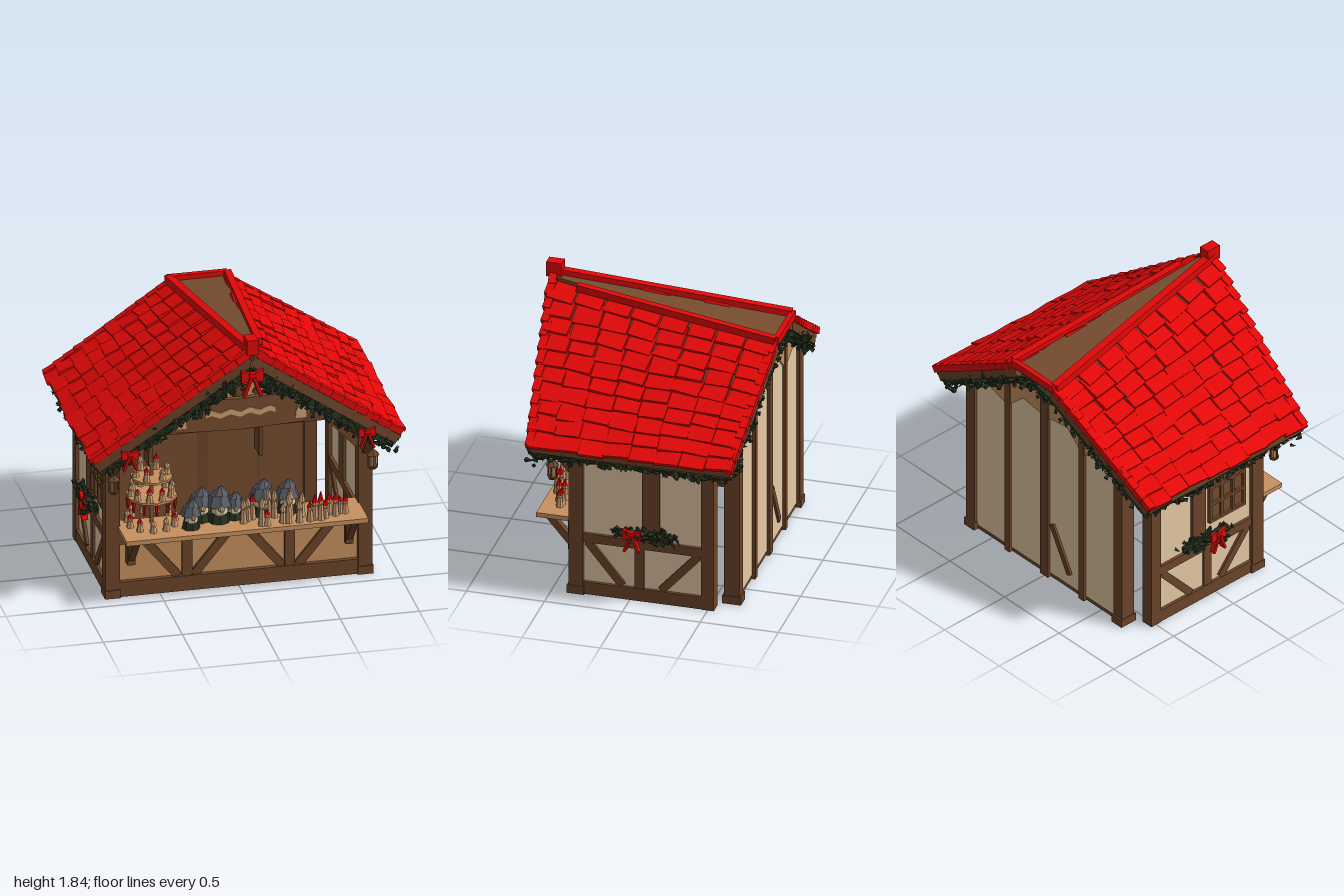
import * as THREE from 'three';
import { mergeGeometries } from 'three/addons/utils/BufferGeometryUtils.js';

const V = (x, y, z) => new THREE.Vector3(x, y, z);
const paint = (name, color) => Object.assign(new THREE.MeshStandardMaterial({ color }), { name });
const box = (w, h, d, x, y, z) => new THREE.BoxGeometry(w, h, d).translate(x, y, z);
const cyl = (r1, r2, h, x, y, z, n = 8) => new THREE.CylinderGeometry(r1, r2, h, n).translate(x, y + h / 2, z);
const ball = (r, x, y, z) => new THREE.SphereGeometry(r, 7, 5).translate(x, y, z);

// Square timber running from a to b
function beam(a, b, w, h = w) {
  const d = b.clone().sub(a);
  const z = d.clone().normalize();
  const x = (Math.abs(z.y) > 0.99 ? V(1, 0, 0) : V(0, 1, 0).cross(z)).normalize();
  const m = new THREE.Matrix4().makeBasis(x, z.clone().cross(x), z);
  return new THREE.BoxGeometry(w, h, d.length()).applyMatrix4(m.setPosition(a.clone().add(b).multiplyScalar(0.5)));
}

// Flat outline in x/y given thickness in z
function plate(points, z, depth) {
  const shape = new THREE.Shape(points.map(p => new THREE.Vector2(p[0], p[1])));
  return new THREE.ExtrudeGeometry(shape, { depth, bevelEnabled: false }).translate(0, 0, z);
}

export function createModel() {
  const group = new THREE.Group();
  const red = paint('red', 0xe20808), dark = paint('dark wood', 0x6c452a), mid = paint('brown wood', 0x764c2e);
  const tan = paint('tan wood', 0xc6915f), light = paint('light wood', 0xcf9f74), plaster = paint('plaster', 0xe5c9a4);
  const green = paint('fir green', 0x27321f), slate = paint('slate grey', 0x595c62), cream = paint('cream', 0xdcc9aa);
  let seed = 7;
  const rnd = (a = -1, b = 1) => a + (b - a) * ((seed = (seed * 16807) % 2147483647) / 2147483647);

  // Merge a list of geometries into one faceted, named mesh
  function add(name, mat, ...geos) {
    const g = mergeGeometries(geos.flat().map(q => {
      const f = q.index ? q.toNonIndexed() : q;
      f.deleteAttribute('uv'); f.clearGroups();
      return f;
    }));
    g.computeVertexNormals();
    const mesh = new THREE.Mesh(g, mat);
    mesh.name = name;
    group.add(mesh);
  }

  // Roof surface: u runs eave to ridge, v front to back, s picks the side
  const roofPoint = (u, v, s) => {
    const eave = V(0.97, 1.05, 0.61).lerp(V(0.97, 1.06, -0.68), v);
    const ridge = (s > 0 ? V(0.05, 1.72, 0.735) : V(0.01, 1.745, 0.74)).lerp(V(0.17, 1.565, -0.75), v);
    const p = eave.lerp(ridge, u);
    return p.setX(p.x * s);
  };
  const roofFrame = (u, v, s) => {
    const x = roofPoint(u, v + 0.02, s).sub(roofPoint(u, v - 0.02, s)).normalize().multiplyScalar(s);
    const up = roofPoint(u + 0.02, v, s).sub(roofPoint(u - 0.02, v, s));
    const n = up.cross(x).normalize();
    if (n.y < 0) n.negate();
    return new THREE.Matrix4().makeBasis(x, n, x.clone().cross(n)).setPosition(roofPoint(u, v, s));
  };

  // Roof shingles, verge caps and ridge trims
  const tiles = [], verge = [], rows = 10, cols = 8;
  for (const s of [1, -1]) {
    for (let i = 0; i < rows; i++) for (let j = 0; j < cols; j++) {
      const t = new THREE.BoxGeometry(0.168 + rnd() * 0.01, 0.022, 0.145 + rnd() * 0.018);
      t.rotateX(-0.13 + rnd() * 0.06).rotateZ(rnd() * 0.07).rotateY(rnd() * 0.07).translate(0, 0.008 + rnd() * 0.004, rnd() * 0.008);
      tiles.push(t.applyMatrix4(roofFrame((i + 0.5) / rows, (j + 0.5) / cols, s)));
    }
    for (const v of [0.008, 0.992]) for (let i = 0; i < 12; i++) {
      const t = new THREE.BoxGeometry(0.05, 0.045, 0.108).rotateX(-0.06 + rnd() * 0.05).translate(0, 0.004, 0);
      verge.push(t.applyMatrix4(roofFrame((i + 0.5) / 12, v, s)));
    }
  }
  verge.push(beam(V(-0.01, 1.765, 0.73), V(-0.185, 1.59, -0.75), 0.05), beam(V(0.09, 1.725, 0.55), V(0.19, 1.59, -0.75), 0.045));
  verge.push(beam(V(0, 1.765, 0.725), V(0.08, 1.71, 0.715), 0.05, 0.045));
  add('roofShingles', red, tiles);
  add('roofTrim', red, verge, beam(V(-0.19, 1.585, -0.755), V(0.19, 1.585, -0.755), 0.035, 0.05));
  add('ridgeFinial', red, box(0.07, 0.1, 0.1, 0, 1.79, 0.715));

  // Roof boards under the shingles
  const boards = [];
  for (const s of [1, -1]) for (let j = 0; j < 4; j++) {
    const c = [[0, j / 4], [1, j / 4], [1, (j + 1) / 4], [0, (j + 1) / 4]].map(([u, v]) => roofPoint(u, v, s));
    const pos = [...c, ...c.map(p => p.clone().add(V(0, -0.045, 0)))].flatMap(p => p.toArray());
    const g = new THREE.BufferGeometry().setAttribute('position', new THREE.Float32BufferAttribute(pos, 3));
    const idx = [0, 2, 1, 0, 3, 2, 4, 5, 6, 4, 6, 7, 0, 1, 5, 0, 5, 4, 1, 2, 6, 1, 6, 5, 2, 3, 7, 2, 7, 6, 3, 0, 4, 3, 4, 7];
    g.setIndex(s < 0 ? idx.reverse() : idx);
    g.computeVertexNormals();
    boards.push(g);
  }
  add('roofBoards', dark, boards);

  // Open wedge along the falling ridge line
  const wedge = plate([[0, -0.72], [0.05, -0.7], [0.17, 0.76], [-0.17, 0.76]], 0, 0.03).rotateX(-Math.PI / 2);
  const wp = wedge.attributes.position;
  for (let i = 0; i < wp.count; i++) wp.setY(i, wp.getY(i) + 1.637 + 0.121 * wp.getZ(i));
  add('ridgeWedge', mid, wedge);

  // Barge boards, fir garlands and bows
  const barge = [], leaves = [];
  function garland(a, b, r, density = 190) {
    const n = Math.round(a.distanceTo(b) * density);
    leaves.push(beam(a, b, r));
    for (let i = 0; i < n; i++) {
      const p = a.clone().lerp(b, rnd(0, 1)).add(V(rnd() * r, rnd() * r, rnd() * r * 0.8));
      leaves.push(new THREE.ConeGeometry(rnd(0.012, 0.02), rnd(0.04, 0.065), 4)
        .rotateX(rnd() * 3).rotateZ(rnd() * 3).translate(p.x, p.y, p.z));
    }
  }
  for (const s of [1, -1]) {
    barge.push(beam(V(0, 1.69, 0.725), V(0.95 * s, 1.0, 0.6), 0.04, 0.06));
    barge.push(beam(V(0.16 * s, 1.52, -0.74), V(0.95 * s, 1.01, -0.66), 0.04, 0.06));
    barge.push(beam(V(0.93 * s, 1.02, 0.58), V(0.93 * s, 1.02, -0.64), 0.05, 0.05));
    garland(V(0, 1.59, 0.69), V(0.93 * s, 0.96, 0.57), 0.052, 260);
    garland(V(0, 1.48, -0.72), V(0.2 * s, 1.44, -0.72), 0.035);
    garland(V(0.2 * s, 1.44, -0.72), V(0.92 * s, 0.98, -0.65), 0.04);
    garland(V(0.92 * s, 0.98, 0.56), V(0.92 * s, 0.98, -0.64), 0.03);
    garland(V(0.855 * s, 0.47, 0.08), V(0.855 * s, 0.47, -0.28), 0.036, 260);
  }
  add('bargeBoards', dark, barge);
  add('firGarlands', green, leaves);
  const bow = (x, y, z, k, turn = 0) => [
    box(0.04, 0.045, 0.03, 0, 0, 0.012), ...[1, -1].flatMap(s => [
      plate([[0, 0.02], [0.06 * s, 0.04], [0.06 * s, -0.03], [0, -0.02]], 0, 0.022),
      beam(V(0.005 * s, 0, 0.015), V(0.045 * s, -0.11, 0.01), 0.042, 0.016)])
  ].map(g => g.scale(k, k, k).rotateY(turn).translate(x, y, z));
  add('bows', red, bow(0, 1.59, 0.74, 1.18), ...[1, -1].flatMap(s => [
    bow(0.75 * s, 1.085, 0.645, 0.9), bow(0.88 * s, 0.48, -0.03, 1, s * Math.PI / 2)]));

  // Timber frame
  const frame = [box(1.6, 0.1, 0.07, 0, 0.05, 0.35), box(1.6, 0.09, 0.07, 0, 0.4, 0.35)];
  for (const s of [1, -1]) {
    const x = 0.8 * s;
    frame.push(box(0.09, 1.1, 0.09, x, 0.55, 0.345), box(0.1, 0.055, 0.11, x, 0.027, 0.345));
    frame.push(box(0.08, 1.1, 0.08, x, 0.55, -0.5));
    frame.push(box(0.07, 0.085, 0.8, x, 0.042, -0.08), box(0.07, 0.06, 0.8, x, 0.39, -0.08), box(0.07, 0.08, 1.0, x, 1.06, -0.13));
    frame.push(box(0.07, 0.62, 0.11, x, 0.71, -0.135), box(0.06, 0.3, 0.06, x, 0.22, -0.06));
    frame.push(beam(V(x, 0.36, 0.27), V(x, 0.09, 0.05), 0.065, 0.05), beam(V(x, 0.36, -0.44), V(x, 0.09, -0.2), 0.065, 0.05));
    // front studs and braces
    frame.push(box(0.065, 0.28, 0.06, 0.325 * s, 0.23, 0.35));
    frame.push(beam(V(0.59 * s, 0.36, 0.35), V(0.38 * s, 0.1, 0.35), 0.05, 0.055), beam(V(0.07 * s, 0.36, 0.35), V(0.28 * s, 0.1, 0.35), 0.05, 0.055));
    // counter brackets, knee braces and awning struts
    frame.push(box(0.05, 0.22, 0.05, 0.69 * s, 0.34, 0.405), beam(V(0.69 * s, 0.25, 0.39), V(0.69 * s, 0.45, 0.56), 0.045));
    frame.push(beam(V(0.76 * s, 0.88, 0.35), V(0.56 * s, 1.1, 0.35), 0.055), beam(V(x, 0.84, 0.38), V(x, 1.04, 0.57), 0.045));
    // back corner posts, set in from the side walls
    frame.push(box(0.08, 1.17, 0.1, 0.675 * s, 0.585, -0.62), box(0.09, 0.055, 0.12, 0.675 * s, 0.027, -0.62));
  }
  // back studs and one short brace
  for (const [x, top, w] of [[0.34, 1.36, 0.045], [-0.34, 1.36, 0.045], [0, 1.5, 0.07]]) frame.push(box(w, top, 0.06, x, top / 2, -0.64));
  frame.push(box(1.34, 0.04, 0.06, 0, 0.02, -0.615), beam(V(-0.06, 0.42, -0.645), V(-0.22, 0.12, -0.645), 0.04));
  frame.push(box(1.6, 0.06, 0.07, 0, 1.1, 0.35));
  add('timberFrame', dark, frame);

  // Walls
  add('sideWalls', plaster, [1, -1].map(s => box(0.03, 1.08, 0.8, 0.8 * s, 0.56, -0.08)));
  add('frontPanel', tan, box(1.55, 0.38, 0.02, 0, 0.25, 0.345));
  add('frontLining', mid, box(1.51, 0.4, 0.006, 0, 0.25, 0.332));
  add('backWall', plaster, plate([[-0.7, 0.03], [0.7, 0.03], [0.7, 1.15], [0.4, 1.35], [-0.4, 1.35], [-0.7, 1.15]], -0.65, 0.015));
  add('backWallLining', mid, plate([[-0.7, 0.03], [0.7, 0.03], [0.7, 1.16], [0.16, 1.52], [-0.16, 1.52], [-0.7, 1.16]], -0.635, 0.025));
  add('backGableBoards', tan, plate([[-0.72, 1.04], [-0.6, 1.15], [-0.5, 1.17], [-0.34, 1.12], [-0.2, 1.25], [0, 1.22], [0.2, 1.25], [0.34, 1.12],
    [0.5, 1.17], [0.6, 1.15], [0.72, 1.04], [0.72, 1.15], [0.17, 1.52], [-0.17, 1.52], [-0.72, 1.15]], -0.662, 0.012));

  // Front gable with an arched panel, studs and a plain signboard
  add('frontGable', mid, plate([[-0.78, 1.1], [0.78, 1.1], [0.78, 1.13], [0, 1.66], [-0.78, 1.13]], 0.34, 0.02));
  const arch = [0, 1, 2, 3, 4, 5, 6, 7, 8].map(i => [0.36 * Math.cos(i * Math.PI / 8), 1.27 + 0.21 * Math.sin(i * Math.PI / 8)]);
  add('gableArch', tan, plate(arch, 0.361, 0.008));
  add('gableStuds', dark, box(0.05, 0.25, 0.03, 0, 1.4, 0.375), [1, -1].flatMap(s => [
    beam(V(0.1 * s, 1.3, 0.375), V(0.2 * s, 1.47, 0.375), 0.04, 0.03), beam(V(0.66 * s, 1.12, 0.375), V(0, 1.58, 0.375), 0.05, 0.03)]));
  add('signboard', mid, plate([[-0.4, 1.1], [0, 1.085], [0.4, 1.1], [0.46, 1.17], [0.44, 1.25], [0.37, 1.31], [0, 1.295], [-0.37, 1.31], [-0.44, 1.25], [-0.46, 1.17]], 0.4, 0.035));
  // carved candles at the ends and a wavy garland band between them
  const band = Array.from({ length: 15 }, (_, i) => [-0.22 + i * 0.0314, 1.205 + 0.012 * Math.sin(i * 1.6)]);
  const ornaments = [plate([...band.map(([x, y]) => [x, y - 0.018]), ...band.reverse().map(([x, y]) => [x, y + 0.018])], 0.435, 0.008)];
  for (const x of [-0.38, 0.38]) ornaments.push(plate([[-0.035, 1.13], [0.035, 1.13], [0.03, 1.18], [0, 1.25], [-0.03, 1.18]], 0.435, 0.008).translate(x, 0, 0));
  add('signOrnaments', light, ornaments);

  // Lattice window in one side wall
  add('windowPane', mid, box(0.008, 0.38, 0.28, -0.819, 0.75, 0.1));
  const bars = [];
  for (let i = 0; i < 4; i++) bars.push(box(0.03, 0.4, 0.022, -0.825, 0.75, -0.04 + i * 0.0933), box(0.03, 0.022, 0.3, -0.825, 0.56 + i * 0.127, 0.1));
  add('windowLattice', dark, bars);

  // Counter, back shelves and tiered stand
  add('counter', tan, box(1.53, 0.03, 0.32, 0, 0.468, 0.46));
  add('shelves', tan, [0.78, 0.94, 1.07].map(y => box(0.68, 0.02, 0.13, -0.01, y, -0.54)));
  add('shelfEnds', dark, [-0.36, 0.34].map(x => box(0.025, 0.65, 0.13, x, 0.78, -0.54)));
  add('tieredStand', tan, cyl(0.012, 0.012, 0.4, -0.55, 0.48, 0.37),
    [[0.16, 0.665], [0.13, 0.79]].map(([r, y]) => cyl(r, r, 0.015, -0.55, y, 0.37, 10)));

  // Gnomes, carved figures and red ornaments for sale
  const coats = [], hats = [], wood = [], beards = [], accents = [];
  function gnome(x, y, z, k) {
    coats.push(cyl(0.035 * k, 0.045 * k, 0.045 * k, x, y, z));
    hats.push(cyl(0.034 * k, 0.054 * k, 0.045 * k, x, y + 0.07 * k, z, 7), cyl(0.01, 0.034 * k, 0.03 * k, x + 0.008 * k, y + 0.115 * k, z, 7));
    beards.push(ball(0.034 * k, x, y + 0.055 * k, z + 0.014 * k));
    wood.push(ball(0.013 * k, x, y + 0.07 * k, z + 0.052 * k));
  }
  function figure(x, y, z, h, redShare) {
    wood.push(cyl(0.016, 0.024, h * 0.55, x, y, z, 6), ball(0.019, x, y + h * 0.64, z));
    (rnd(0, 1) < redShare ? accents : wood).push(cyl(0.003, 0.02, h * 0.32, x, y + h * 0.7, z, 6));
  }
  [[-0.33, 0.5, 1.3], [-0.25, 0.4, 1.5], [-0.14, 0.44, 1.6], [-0.04, 0.42, 1.2], [0.14, 0.4, 1.6], [0.3, 0.4, 1.5]].forEach(([x, z, k]) => gnome(x, 0.483, z, k));
  [-0.25, -0.09, 0.08, 0.23].forEach(x => gnome(x, 0.79, -0.53, 0.85));
  for (let i = 0; i < 20; i++) figure(0.0 + i * 0.034, 0.483, rnd(0.42, 0.58), rnd(0.1, 0.22), i < 9 ? 0.1 : 0.6);
  for (const [y, r, n] of [[0.483, 0.15, 11], [0.68, 0.13, 10], [0.805, 0.1, 6]])
    for (let i = 0; i < n; i++) figure(-0.55 + r * Math.cos(i * 6.283 / n), y, 0.37 + r * Math.sin(i * 6.283 / n), rnd(0.06, 0.1), 0.4);
  // red baubles hanging under the stand's tiers
  for (let i = 0; i < 12; i++) accents.push(cyl(0.014, 0.008, 0.07, -0.55 + 0.15 * Math.cos(i * 0.524), 0.595, 0.37 + 0.15 * Math.sin(i * 0.524), 6));
  [0.03, 0.2].forEach(x => wood.push(ball(0.03, x, 0.98, -0.53)));
  add('gnomeCoats', green, coats);
  add('gnomeHats', slate, hats);
  add('gnomeBeards', cream, beards);
  add('carvedFigures', light, wood);
  add('redOrnaments', red, accents);

  // Hanging lanterns
  for (const s of [1, -1]) {
    const x = 0.82 * s, z = 0.5;
    add('lanternFrame', dark, cyl(0.004, 0.004, 0.1, x, 0.88, z), cyl(0.008, 0.045, 0.035, x, 0.86, z, 6), cyl(0.035, 0.025, 0.02, x, 0.765, z, 6),
      [0, 1, 2, 3].map(i => box(0.008, 0.09, 0.008, x + 0.028 * Math.cos(i * 1.571), 0.82, z + 0.028 * Math.sin(i * 1.571))));
    add('lanternCandle', tan, cyl(0.02, 0.02, 0.07, x, 0.785, z));
  }
  return group;
}
